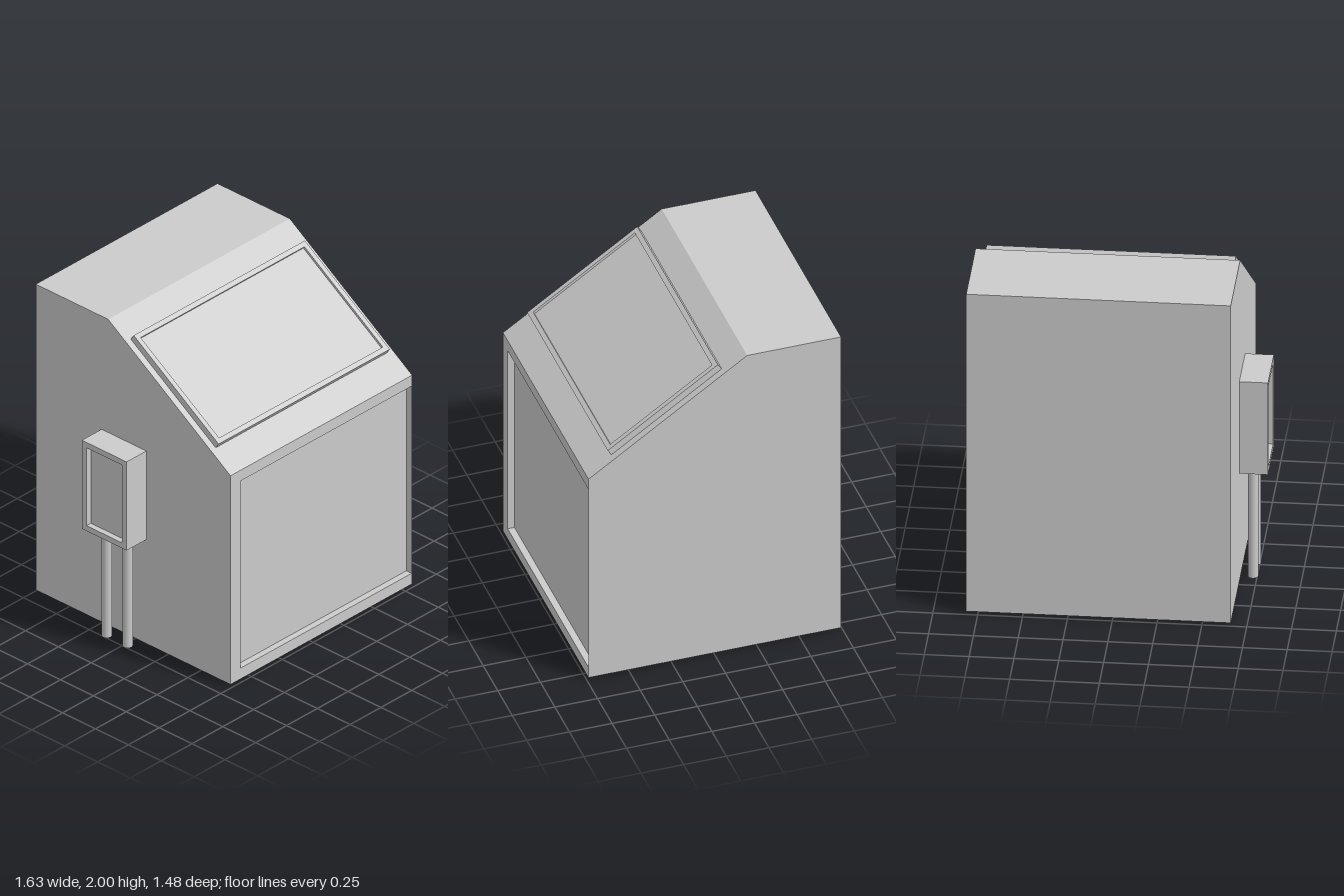
import * as THREE from 'three';

const material = new THREE.MeshStandardMaterial({ color: 0xcccccc });

function addMesh(parent, name, geometry) {
  const mesh = new THREE.Mesh(geometry, material);
  mesh.name = name;
  parent.add(mesh);
  return mesh;
}

// Extrude a (z, y) side profile across the cabinet from x0 to x1
function profileSlab(points, x0, x1) {
  const shape = new THREE.Shape(points.map(([z, y]) => new THREE.Vector2(z, y)));
  return new THREE.ExtrudeGeometry(shape, { depth: x1 - x0, bevelEnabled: false })
    .rotateY(-Math.PI / 2)
    .translate(x1, 0, 0);
}

// Block standing on z = 0 and facing +z, with a sunken panel inside a raised rim
function framedPanel(name, w, h, depth, border, recess) {
  const group = new THREE.Group();
  group.name = name;
  const rect = (Type, rw, rh) => new Type([
    new THREE.Vector2(-rw / 2, -rh / 2), new THREE.Vector2(rw / 2, -rh / 2),
    new THREE.Vector2(rw / 2, rh / 2), new THREE.Vector2(-rw / 2, rh / 2),
  ]);
  const iw = w - 2 * border, ih = h - 2 * border;
  const rim = rect(THREE.Shape, w, h);
  rim.holes.push(rect(THREE.Path, iw, ih));
  addMesh(group, name + 'Rim', new THREE.ExtrudeGeometry(rim, { depth, bevelEnabled: false }));
  const d = depth - recess;
  addMesh(group, name + 'Face', new THREE.BoxGeometry(iw, ih, d).translate(0, 0, d / 2));
  return group;
}

export function createModel() {
  const model = new THREE.Group();
  model.name = 'kiosk';

  // Cabinet: full-depth sides around a core whose front is sunken
  const cabinet = new THREE.Group();
  cabinet.name = 'cabinet';
  model.add(cabinet);
  const front = 0.74, back = -0.74, base = 0.015, slopeLow = 1.37, slopeZ = -0.19;
  const upper = [[front, slopeLow], [slopeZ, 2], [back, 2], [back, base]];
  const full = [[front, base], ...upper];
  const sunken = [[front, base], [front, 0.085], [0.7, 0.085], [0.7, 1.3], [front, 1.3], ...upper];
  addMesh(cabinet, 'rightSide', profileSlab(full, -0.66, -0.58));
  addMesh(cabinet, 'core', profileSlab(sunken, -0.58, 0.812));
  addMesh(cabinet, 'leftSide', profileSlab(full, 0.812, 0.815));

  // Framed screen lying on the sloping top
  const screen = framedPanel('screen', 1.39, 0.78, 0.04, 0.03, 0.015);
  screen.position.set(0.075, 1.691, 0.267);
  screen.rotation.x = -Math.atan2(front - slopeZ, 2 - slopeLow);
  model.add(screen);

  // Framed box on the right side, facing outward
  const sideBox = framedPanel('sideBox', 0.34, 0.575, 0.16, 0.035, 0.035);
  sideBox.position.set(-0.66, 0.978, -0.07);
  sideBox.rotation.y = -Math.PI / 2;
  model.add(sideBox);

  // Two round posts below the side box
  for (const [name, z] of [['frontPost', 0.02], ['backPost', -0.138]]) {
    addMesh(model, name, new THREE.CylinderGeometry(0.029, 0.029, 0.69, 32))
      .position.set(-0.727, 0.345, z);
  }
  return model;
}
